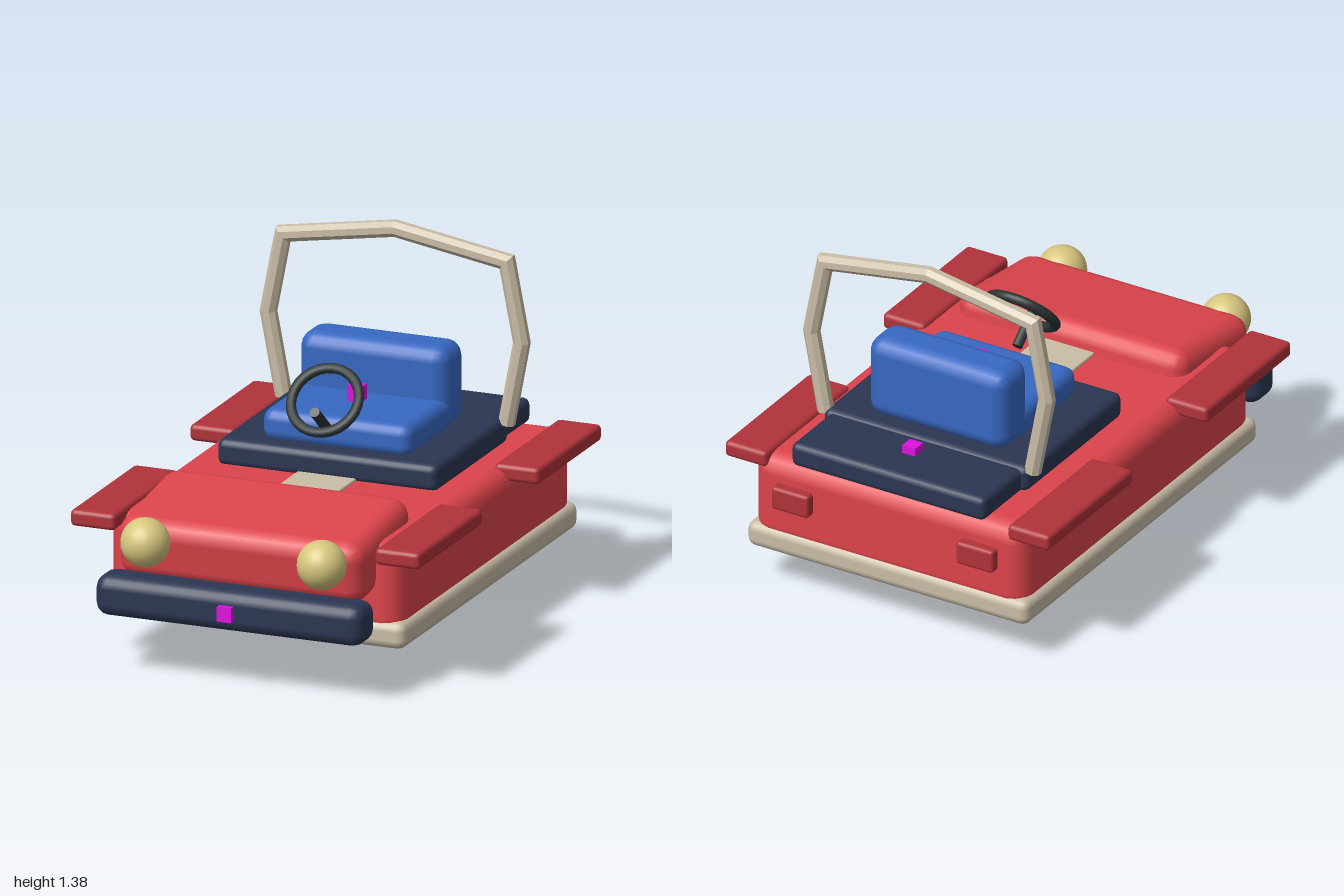
import * as THREE from 'three';
import { RoundedBoxGeometry } from 'three/addons/geometries/RoundedBoxGeometry.js';

const mat = (name, color) => {
  const m = new THREE.MeshStandardMaterial({ color });
  m.name = name;
  return m;
};

export function createModel() {
  const car = new THREE.Group();
  car.name = 'openBuggy';
  const red = mat('bodyRed', 0xdc444b);
  const darkRed = mat('trimRed', 0xb0333a);
  const navy = mat('navy', 0x2c3653);
  const cream = mat('cream', 0xc9bda6);
  const blue = mat('seatBlue', 0x3768c2);
  const black = mat('black', 0x2a3232);
  const lamp = mat('lampYellow', 0xd6c67e);
  const magenta = mat('markerMagenta', 0xdd11dd);

  const add = (name, geometry, material, x = 0, y = 0, z = 0) => {
    const mesh = new THREE.Mesh(geometry, material);
    mesh.name = name;
    mesh.position.set(x, y, z);
    car.add(mesh);
    return mesh;
  };
  // Rounded box given by its limits on each axis
  const block = (name, material, [x0, x1], [y0, y1], [z0, z1], r) =>
    add(name, new RoundedBoxGeometry(x1 - x0, y1 - y0, z1 - z0, 2, r), material,
      (x0 + x1) / 2, (y0 + y1) / 2, (z0 + z1) / 2);

  // Body shell and skirt
  block('skirt', cream, [-0.617, 0.617], [0.16, 0.265], [-0.97, 0.72], 0.035);
  block('body', red, [-0.597, 0.597], [0.2, 0.565], [-0.96, 0.71], 0.075);
  const hood = add('hood', new RoundedBoxGeometry(1, 0.25, 0.53, 2, 0.07), red, 0, 0.503, 0.602);
  hood.rotation.x = 0.135;
  block('bumper', navy, [-0.547, 0.547], [0.23, 0.39], [0.81, 0.97], 0.05);

  // Floor, rear deck and centre strip
  block('floor', navy, [-0.45, 0.45], [0.555, 0.662], [-0.69, 0.012], 0.03);
  block('rearDeck', navy, [-0.425, 0.425], [0.555, 0.652], [-0.96, -0.66], 0.025);
  block('centreStrip', cream, [-0.12, 0.12], [0.54, 0.575], [-0.02, 0.36], 0.006);

  // Seat
  block('seatCushion', blue, [-0.305, 0.305], [0.645, 0.773], [-0.52, -0.072], 0.045);
  block('seatBack', blue, [-0.305, 0.305], [0.645, 0.975], [-0.617, -0.42], 0.06);

  // Fenders, headlights and tail lights on both sides
  for (const s of [-1, 1]) {
    const span = (a, b) => (s > 0 ? [a, b] : [-b, -a]);
    const side = s > 0 ? 'left' : 'right';
    block(side + 'FrontFender', darkRed, span(0.53, 0.713), [0.515, 0.58], [0.18, 0.8], 0.018);
    block(side + 'RearFender', darkRed, span(0.53, 0.713), [0.515, 0.58], [-0.965, -0.35], 0.018);
    block(side + 'TailLight', darkRed, span(0.325, 0.487), [0.37, 0.465], [-1, -0.93], 0.014);
    add(side + 'Headlight', new THREE.SphereGeometry(0.095, 24, 16), lamp, s * 0.36, 0.525, 0.903);
  }

  // Steering wheel and column
  const wheel = add('steeringWheel', new THREE.TorusGeometry(0.134, 0.02, 10, 28), black, 0, 0.873, 0.024);
  wheel.rotation.x = -0.72;
  const column = add('steeringColumn', new THREE.CylinderGeometry(0.02, 0.02, 0.18, 10), black, 0, 0.797, 0.053);
  column.rotation.x = 0.88;

  // Roll bar: straight lengths with mitred joints
  const path = [[-0.455, 0.64], [-0.517, 0.967], [-0.457, 1.278], [0, 1.354],
    [0.457, 1.278], [0.517, 0.967], [0.455, 0.64]].map(([x, y]) => new THREE.Vector2(x, y));
  const sides = 8, radius = 0.033, positions = [], index = [];
  path.forEach((p, i) => {
    const before = p.clone().sub(path[Math.max(i - 1, 0)]).normalize();
    const after = path[Math.min(i + 1, path.length - 1)].clone().sub(p).normalize();
    const t = before.clone().add(after).normalize();
    const stretch = 1 / Math.max(t.dot(after), t.dot(before));
    for (let j = 0; j < sides; j++) {
      const a = ((j + 0.5) / sides) * Math.PI * 2;
      const c = Math.cos(a) * radius * stretch;
      positions.push(p.x - t.y * c, p.y + t.x * c, Math.sin(a) * radius);
      if (i === 0) continue;
      const k = (j + 1) % sides, m = (i - 1) * sides, n = i * sides;
      index.push(m + j, m + k, n + j, m + k, n + k, n + j);
    }
  });
  const tube = new THREE.BufferGeometry();
  tube.setAttribute('position', new THREE.Float32BufferAttribute(positions, 3));
  tube.setIndex(index);
  const flatTube = tube.toNonIndexed();
  flatTube.computeVertexNormals();
  add('rollBar', flatTube, cream, 0, 0, -0.652);

  // Small marker cubes
  const cube = new THREE.BoxGeometry(0.058, 0.058, 0.058);
  [['ground', 0.03, -0.055], ['bumper', 0.31, 0.968], ['seat', 0.815, -0.285], ['deck', 0.655, -0.775]]
    .forEach(([name, y, z]) => add(name + 'Marker', cube, magenta, 0, y, z));

  return car;
}
